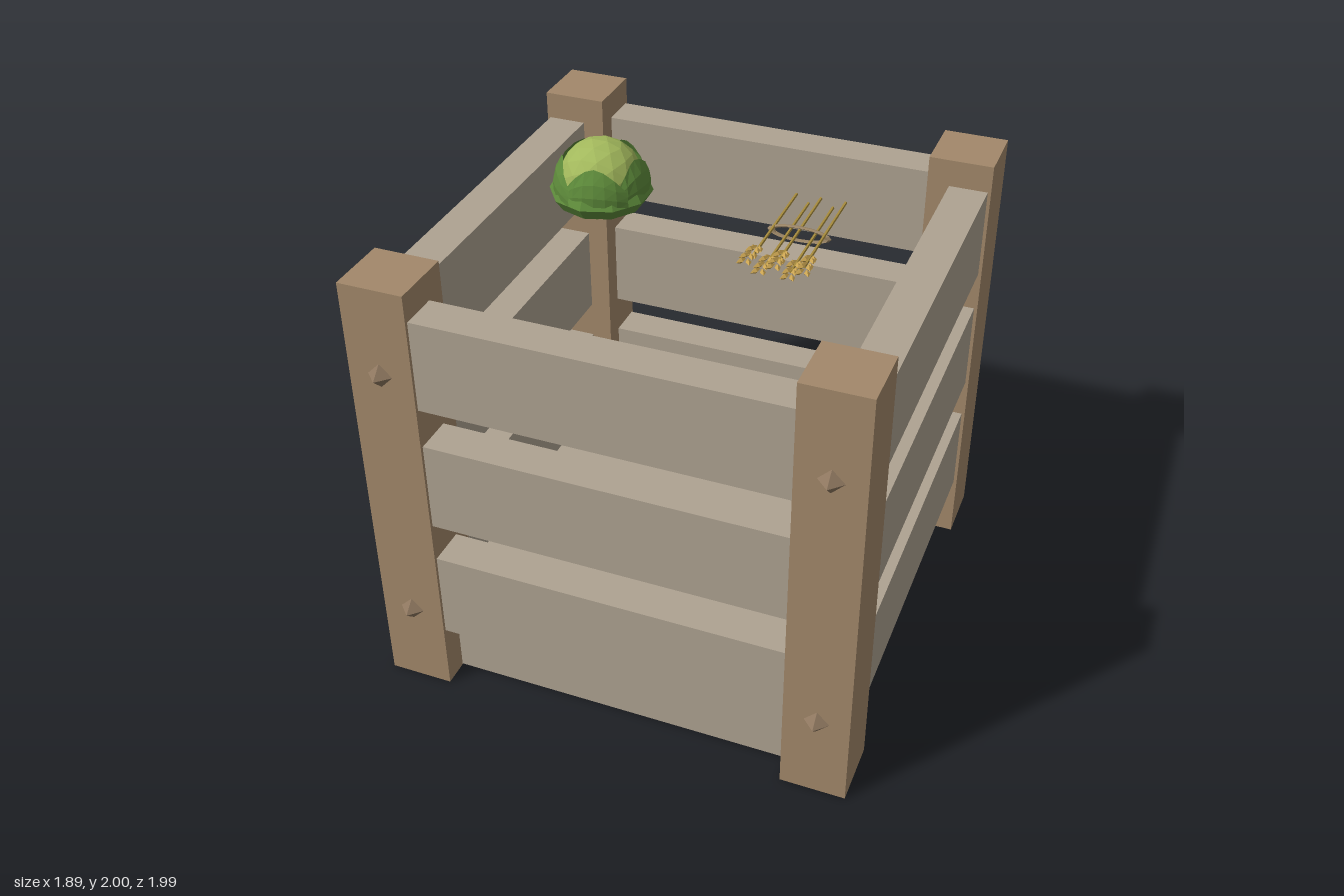
import * as THREE from 'three';

const mat = (name, color, opts = {}) => {
  const m = new THREE.MeshStandardMaterial({ color, flatShading: true, ...opts });
  m.name = name;
  return m;
};

export function createModel() {
  const root = new THREE.Group();
  root.name = 'produceCrate';
  const M = {
    post: mat('postWood', 0xa2886a),
    slat: mat('slatWood', 0xaea291),
    stud: mat('stud', 0x8f7860),
    leaf: mat('outerLeafGreen', 0x5d8a3a, { side: THREE.DoubleSide }),
    head: mat('cabbageHeartGreen', 0xa2b85c),
    stalk: mat('stalkStraw', 0xa88c3c),
    grain: mat('grainGold', 0xcba552),
    tie: mat('twine', 0x9a8465),
  };
  const add = (parent, name, geo, material, x = 0, y = 0, z = 0) => {
    const m = new THREE.Mesh(geo, material);
    m.name = name;
    m.position.set(x, y, z);
    parent.add(m);
    return m;
  };

  // Crate: corner posts with studs on the front and back
  const crate = new THREE.Group();
  crate.name = 'crate';
  root.add(crate);
  const postGeo = new THREE.BoxGeometry(0.253, 1.8, 0.253);
  const studGeo = new THREE.OctahedronGeometry(0.048);
  for (const sx of [-1, 1]) for (const sz of [-1, 1]) {
    add(crate, 'cornerPost', postGeo, M.post, sx * 0.8185, 0.9, sz * 0.8185);
    for (const y of [0.355, 1.45]) add(crate, 'stud', studGeo, M.stud, sx * 0.82, y, sz * 0.945);
  }

  // Three slats on each of the four sides
  const slatGeo = new THREE.BoxGeometry(1.5, 0.367, 0.153);
  for (const y of [0.453, 0.98, 1.507]) for (let i = 0; i < 4; i++) {
    const a = i * Math.PI / 2;
    add(crate, 'slat', slatGeo, M.slat, Math.sin(a) * 0.8555, y, Math.cos(a) * 0.8555).rotation.y = a;
  }

  // Floor block, set back behind the slats
  add(crate, 'floor', new THREE.BoxGeometry(1.68, 0.268, 1.68), M.slat, 0, 0.138, 0);

  // Cabbage: round heart, cupped base and overlapping pointed leaves
  const cabbage = new THREE.Group();
  cabbage.name = 'cabbage';
  cabbage.position.set(-0.385, 1.71, 0);
  root.add(cabbage);
  add(cabbage, 'cabbageHeart', new THREE.IcosahedronGeometry(0.157, 2), M.head, 0, 0.133, 0);
  const cup = [[0, 0], [0.1, 0.012], [0.165, 0.045], [0.195, 0.09], [0.172, 0.13], [0.15, 0.155]];
  add(cabbage, 'cabbageCup', new THREE.LatheGeometry(cup.map(p => new THREE.Vector2(...p)), 10), M.leaf);

  const leafGeo = new THREE.PlaneGeometry(2, 1, 6, 3);
  const p = leafGeo.attributes.position;
  for (let i = 0; i < p.count; i++) {
    const u = p.getX(i), v = p.getY(i) + 0.5;
    const top = 0.15 + 0.085 * (1 - u * u); // arched upper rim
    const y = 0.09 + (top - 0.09) * v;
    const a = u * 0.72;
    const swirl = 0.008 * u; // one edge lifts over its neighbour
    const r = Math.sqrt(Math.max(0.001, 0.172 ** 2 - (y - 0.133) ** 2)) + 0.012 * (1 - v) + swirl;
    p.setXYZ(i, Math.sin(a) * r, y, Math.cos(a) * r);
  }
  leafGeo.computeVertexNormals();
  for (let i = 0; i < 5; i++) add(cabbage, 'cabbageLeaf', leafGeo, M.leaf).rotation.y = 0.25 + i * Math.PI * 0.4;

  // Bundle of wheat: five stalks, paired kernels and a twine tie
  const wheat = new THREE.Group();
  wheat.name = 'wheatBundle';
  wheat.position.set(0.382, 0, 0);
  root.add(wheat);
  const stalkGeo = new THREE.CylinderGeometry(0.006, 0.006, 0.5, 5).rotateX(Math.PI / 2);
  const kernelGeo = new THREE.OctahedronGeometry(1).scale(0.011, 0.012, 0.026);
  for (let i = -2; i <= 2; i++) {
    const x = i * 0.048, y = i % 2 ? 1.73 : 1.76;
    add(wheat, 'stalk', stalkGeo, M.stalk, x, y, -0.04);
    for (let k = 0; k < 5; k++) for (const s of [-1, 1]) {
      const kernel = add(wheat, 'kernel', kernelGeo, M.grain,
        x * (1.04 + k * 0.02) + s * 0.014, y + 0.004 + (k % 2) * 0.008, 0.155 + k * 0.025);
      kernel.rotation.y = s * 0.45;
    }
  }
  const tie = add(wheat, 'twineTie', new THREE.TorusGeometry(0.03, 0.004, 5, 16), M.tie, 0, 1.745, -0.03);
  tie.scale.set(3.6, 0.9, 2.5);

  return root;
}
